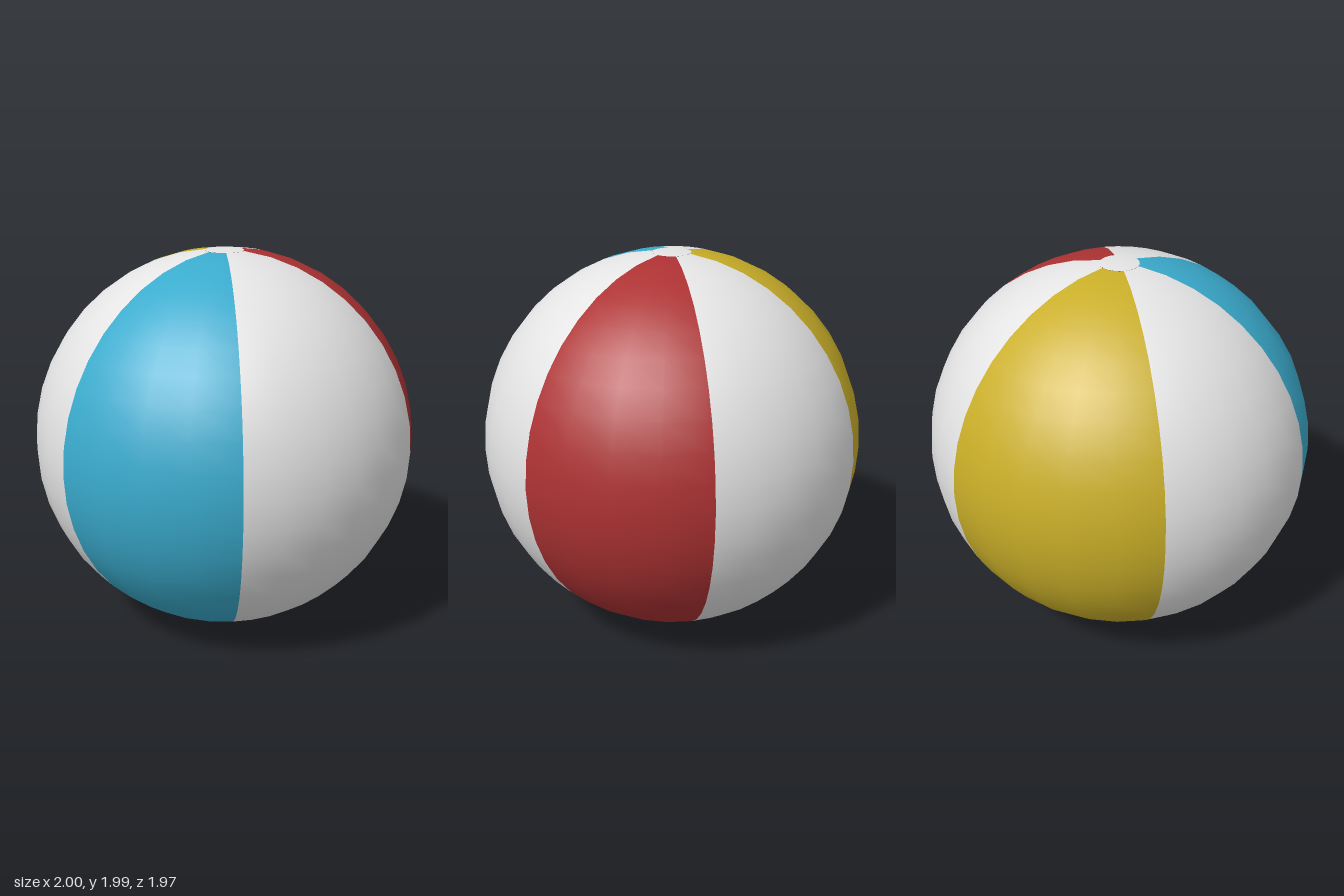
import * as THREE from 'three';

export function createModel() {
  const ball = new THREE.Group();
  ball.name = 'beachBall';

  const material = (name, color) => {
    const m = new THREE.MeshStandardMaterial({ color });
    m.name = name;
    return m;
  };
  const white = material('white', 0xe4e4e4);
  const red = material('red', 0xad3233);
  const blue = material('blue', 0x3aabcd);
  const yellow = material('yellow', 0xc9ae28);

  const capAngle = 0.1; // polar angle covered by each end cap
  const deg = THREE.MathUtils.degToRad;

  const add = (name, geometry, mat) => {
    const mesh = new THREE.Mesh(geometry, mat);
    mesh.name = name;
    ball.add(mesh);
  };

  // Six panels: name, colour, start and end angle from +x towards +z, segments
  const panels = [
    ['redPanel', red, -0.5, 56, 4],
    ['frontWhitePanel', white, 56, 124, 6],
    ['bluePanel', blue, 124, 180.5, 4],
    ['backRightWhitePanel', white, 180.5, 236.5, 5],
    ['yellowPanel', yellow, 236.5, 303.5, 5],
    ['backLeftWhitePanel', white, 303.5, 359.5, 5],
  ];
  for (const [name, mat, from, to, segments] of panels) {
    add(name, new THREE.SphereGeometry(1, segments, 20,
      Math.PI - deg(to), deg(to - from), capAngle, Math.PI - 2 * capAngle), mat);
  }

  // Small white caps where the panels meet
  add('topCap', new THREE.SphereGeometry(1.0005, 24, 2, 0, Math.PI * 2, 0, capAngle), white);
  add('bottomCap', new THREE.SphereGeometry(1.0005, 24, 2, 0, Math.PI * 2,
    Math.PI - capAngle, capAngle), white);

  // Slightly flattened, resting on the ground
  ball.scale.set(1, 0.995, 0.99);
  ball.position.y = 0.996;

  const model = new THREE.Group();
  model.add(ball);
  return model;
}
